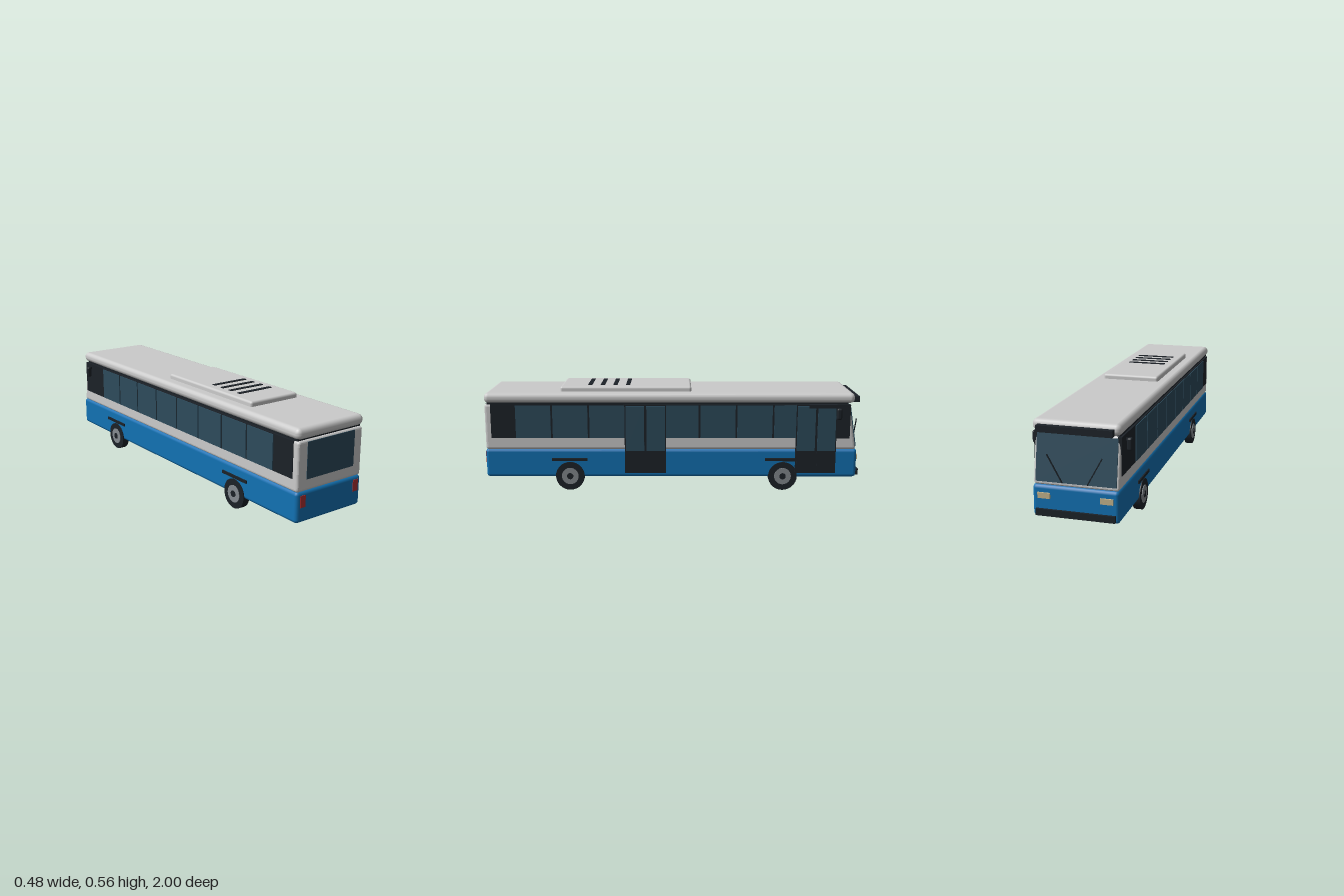
import * as THREE from 'three';
import { RoundedBoxGeometry } from 'three/addons/geometries/RoundedBoxGeometry.js';

const paint = (color) => new THREE.MeshStandardMaterial({ color });
const grey = paint(0xcccccc), blue = paint(0x1272b4), glass = paint(0x2d4b5c);
const black = paint(0x1c2228), red = paint(0xb03032), lamp = paint(0xc4b48c), steel = paint(0x858b90);

export function createModel() {
  const bus = new THREE.Group();
  bus.name = 'bus';

  const add = (name, geometry, material, parent = bus) => {
    const mesh = new THREE.Mesh(geometry, material);
    mesh.name = name;
    parent.add(mesh);
    return mesh;
  };
  // Box given by its limits on each axis; r rounds the edges
  const box = (name, material, [x0, x1], [y0, y1], [z0, z1], r = 0, parent = bus) => {
    const size = [x1 - x0, y1 - y0, z1 - z0];
    const geometry = r ? new RoundedBoxGeometry(...size, 2, r) : new THREE.BoxGeometry(...size);
    const mesh = add(name, geometry, material, parent);
    mesh.position.set((x0 + x1) / 2, (y0 + y1) / 2, (z0 + z1) / 2);
    return mesh;
  };
  // Limits on x for a part on side s, from inner to outer distance
  const span = (s, a, b) => (s > 0 ? [a, b] : [-b, -a]);

  // Body shell
  box('lowerBody', blue, [-0.207, 0.207], [0.07, 0.225], [-0.985, 1], 0.018);
  const upper = box('upperBody', grey, [-0.205, 0.205], [0.222, 0.468], [-0.978, 0.998], 0.014);
  // Lean the windscreen end back towards the roof
  const pos = upper.geometry.attributes.position;
  for (let i = 0; i < pos.count; i++) {
    if (pos.getZ(i) < 0) pos.setZ(i, pos.getZ(i) + 0.04 * (pos.getY(i) / 0.246 + 0.5));
  }
  upper.geometry.computeVertexNormals();
  box('roofSeam', black, [-0.198, 0.198], [0.455, 0.485], [-0.93, 0.985]);
  box('roof', grey, [-0.21, 0.21], [0.472, 0.527], [-0.965, 1], 0.025);

  // Roof unit with vents
  box('roofUnit', grey, [-0.15, 0.15], [0.515, 0.553], [-0.1, 0.6], 0.012);
  for (let i = 0; i < 4; i++) {
    const z = 0.24 + i * 0.068;
    box('roofVent', black, [-0.105, 0.105], [0.548, 0.556], [z - 0.011, z + 0.011]);
  }

  // Tail end
  box('rearWindow', glass, [-0.15, 0.15], [0.28, 0.46], [0.985, 1]);
  for (const s of [-1, 1]) box('tailLight', red, span(s, 0.154, 0.186), [0.148, 0.207], [0.985, 1.003]);

  // Windscreen end
  const screen = add('windscreen', new THREE.BoxGeometry(0.385, 0.222, 0.01), glass);
  screen.position.set(0, 0.349, -0.957);
  screen.rotation.x = Math.atan(0.04 / 0.246);
  box('destinationSign', black, [-0.18, 0.18], [0.475, 0.506], [-0.993, -0.96]);
  box('frontBumper', black, [-0.19, 0.19], [0.08, 0.112], [-0.998, -0.97]);
  for (const s of [-1, 1]) {
    box('headlight', lamp, span(s, 0.12, 0.18), [0.163, 0.19], [-0.993, -0.975]);
    const wiper = add('wiper', new THREE.BoxGeometry(0.005, 0.148, 0.005), black);
    wiper.position.set(s * 0.095, 0.31, -0.99);
    wiper.rotation.z = -s * 0.5;
  }

  // Both sides
  for (const s of [-1, 1]) {
    box('windowBand', black, span(s, 0.19, 0.208), [0.285, 0.466], [-0.942, 0.965]);
    for (let i = 0; i < 8; i++) {
      const z = -0.632 + i * 0.196;
      box('sideWindow', glass, span(s, 0.2, 0.213), [0.288, 0.462], [z - 0.093, z + 0.093]);
    }

    // Mirror and its arm
    box('mirror', black, span(s, 0.214, 0.239), [0.39, 0.45], [-0.893, -0.865], 0.009);
    box('mirrorArm', black, span(s, 0.2, 0.23), [0.437, 0.448], [-0.884, -0.874]);

    // Wheels with arch trims
    for (const z of [0.55, -0.59]) {
      box('archTrim', black, span(s, 0.2, 0.214), [0.16, 0.175], [z - 0.095, z + 0.095]);
      const wheel = new THREE.Group();
      wheel.name = 'wheel';
      wheel.position.set(0, 0.077, z);
      bus.add(wheel);
      const disc = (name, r, a, b, material) => {
        const mesh = add(name, new THREE.CylinderGeometry(r, r, b - a, 28), material, wheel);
        mesh.rotation.z = Math.PI / 2;
        mesh.position.x = (s * (a + b)) / 2;
      };
      disc('tyre', 0.077, 0.174, 0.212, black);
      disc('rim', 0.045, 0.2, 0.215, steel);
      disc('hubCap', 0.017, 0.2, 0.218, black);
    }
  }

  // Double-leaf doors on the left side
  for (const [z0, z1] of [[0.035, 0.255], [-0.87, -0.655]]) {
    const door = new THREE.Group();
    door.name = 'door';
    bus.add(door);
    box('doorFrame', black, [0.19, 0.215], [0.095, 0.468], [z0, z1], 0, door);
    const half = (z1 - z0) / 2;
    for (let i = 0; i < 2; i++) {
      const a = z0 + i * half + 0.006, b = a + half - 0.012;
      box('doorGlass', glass, [0.205, 0.219], [0.217, 0.46], [a, b], 0, door);
      box('doorPanel', black, [0.205, 0.218], [0.1, 0.211], [a, b], 0, door);
    }
  }
  box('sideSign', black, [0.2, 0.221], [0.45, 0.468], [-0.87, -0.72]);

  return bus;
}
